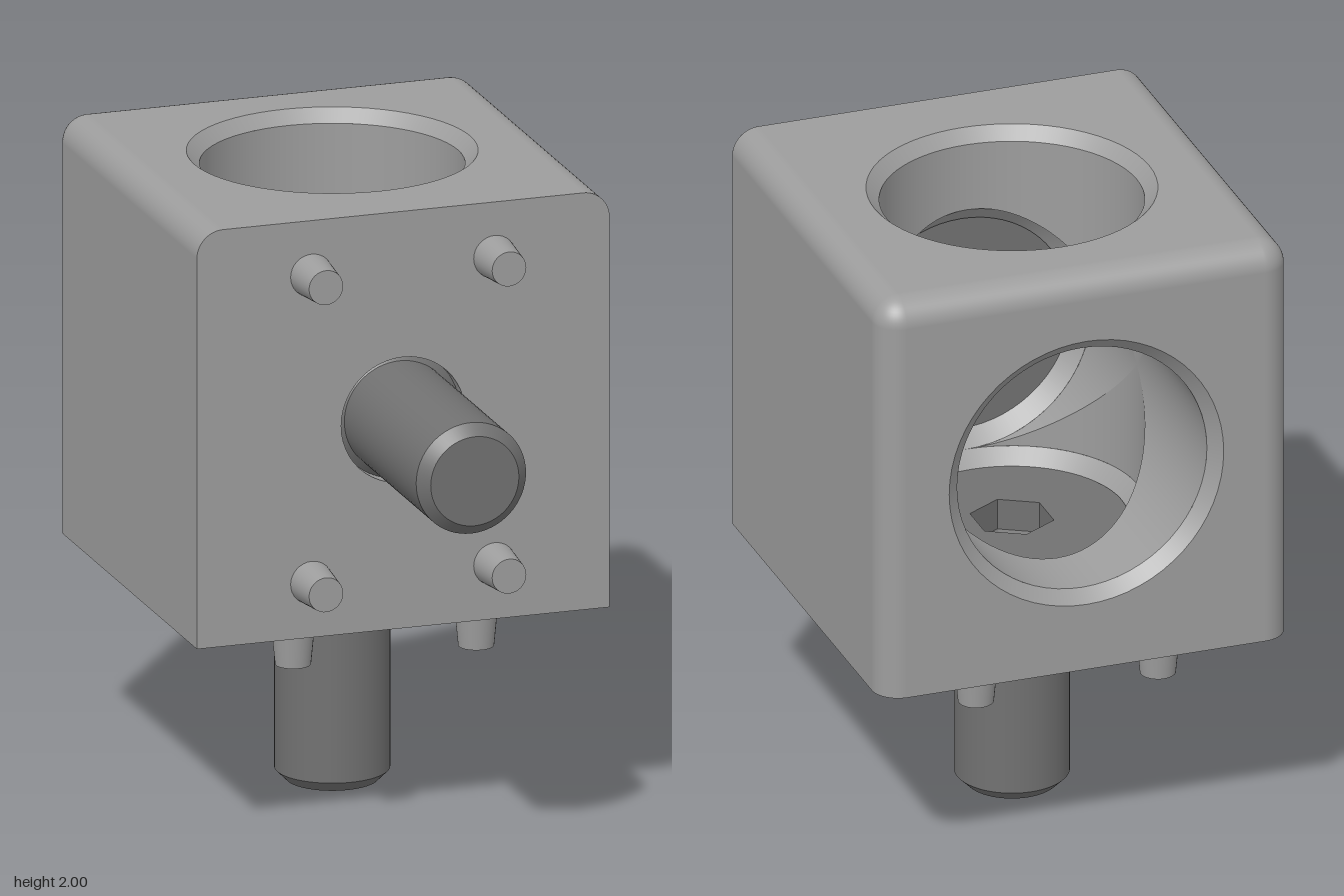
import * as THREE from 'three';
import { mergeGeometries } from 'three/addons/utils/BufferGeometryUtils.js';

const H = 0.665;      // half size of the cube
const F = 0.085;      // edge rounding
const R = 0.405;      // bore radius
const C = 0.04;       // bore chamfer
const HOLE = 0.2;     // bolt clearance hole
const SEG = 64;
const Q = Math.PI / 2;

const blockMat = new THREE.MeshStandardMaterial({ color: 0x9d9d9d, side: THREE.DoubleSide });
blockMat.name = 'light grey metal';
const boltMat = new THREE.MeshStandardMaterial({ color: 0x717171, side: THREE.DoubleSide });
boltMat.name = 'dark grey steel';

function add(parent, name, geometry, material, x = 0, y = 0, z = 0) {
  const mesh = new THREE.Mesh(geometry, material);
  mesh.name = name;
  mesh.position.set(x, y, z);
  parent.add(mesh);
  return mesh;
}

// Turned surface with a hard edge at every profile point
function turned(points, segments = SEG) {
  const bands = [];
  for (let i = 0; i < points.length - 1; i++) {
    const pair = [points[i], points[i + 1]].map(([x, y]) => new THREE.Vector2(x, y));
    bands.push(new THREE.LatheGeometry(pair, segments));
  }
  return mergeGeometries(bands);
}

function circlePath(r) {
  return new THREE.Path().absarc(0, 0, r, 0, Math.PI * 2, true);
}

// Bore wall, cut where the other bore of equal radius crosses it
function boreWall(upper) {
  const g = new THREE.CylinderGeometry(R, R, 1, 96, 4, true);
  const p = g.attributes.position;
  for (let i = 0; i < p.count; i++) {
    const t = p.getY(i) + 0.5;
    const cut = Math.min(R, Math.abs(p.getZ(i)));
    p.setY(i, upper ? cut + t * (H - C - cut) : -R + t * (R - cut));
  }
  return g;
}

function makeBolt() {
  const bolt = new THREE.Group();
  bolt.name = 'countersunkBolt';
  const top = 0.885, rim = 0.355, hex = 0.13, depth = 0.1;
  add(bolt, 'boltBody', turned([[0, 0], [0.142, 0], [0.177, 0.035], [0.177, 0.707], [rim, top]]), boltMat);

  // Head face with hexagonal opening
  const face = new THREE.Shape().absarc(0, 0, rim, 0, Math.PI * 2, false);
  const corners = [];
  for (let i = 0; i < 6; i++) {
    const a = -i * Math.PI / 3;
    corners.push(new THREE.Vector2(-hex * Math.sin(a), hex * Math.cos(a)));
  }
  face.holes.push(new THREE.Path(corners));
  add(bolt, 'boltHeadFace', new THREE.ShapeGeometry(face, SEG / 2).rotateX(-Q), boltMat, 0, top);

  // Hex socket with a shallow drilled point
  const socket = mergeGeometries([
    new THREE.CylinderGeometry(hex, hex, depth, 6, 1, true).translate(0, -depth / 2, 0),
    new THREE.CylinderGeometry(hex, 0.0001, 0.06, 6, 1, true).translate(0, -depth - 0.03, 0),
  ]).toNonIndexed();
  socket.computeVertexNormals();
  add(bolt, 'hexSocket', socket, boltMat, 0, top);
  return bolt;
}

// One bored direction: face, bore, seat, base, bolt and pins, along local y
function makeArm(name) {
  const arm = new THREE.Group();
  arm.name = name;

  // Bored face
  const s = H - F;
  const face = new THREE.Shape([[-s, -H], [s, -H], [s, s], [-s, s]].map(([x, y]) => new THREE.Vector2(x, y)));
  face.holes.push(circlePath(R + C));
  add(arm, 'boredFace', new THREE.ShapeGeometry(face, SEG / 2).rotateX(-Q), blockMat, 0, H);

  // Bore with chamfered mouth and conical bolt seat
  add(arm, 'boreChamfer', turned([[R + C, H], [R, H - C]]), blockMat);
  add(arm, 'boreUpperWall', boreWall(true), blockMat);
  add(arm, 'boreLowerWall', boreWall(false), blockMat);
  add(arm, 'boltSeat', turned([[R, -R], [HOLE, -R - 0.205], [HOLE, -H]]), blockMat);

  // Mounting face with two rounded corners
  const base = new THREE.Shape();
  base.moveTo(H, H);
  base.lineTo(-H, H);
  base.lineTo(-H, -s);
  base.absarc(-s, -s, F, Math.PI, 1.5 * Math.PI, false);
  base.lineTo(s, -H);
  base.absarc(s, -s, F, 1.5 * Math.PI, 2 * Math.PI, false);
  base.closePath();
  base.holes.push(circlePath(HOLE));
  add(arm, 'mountingFace', new THREE.ShapeGeometry(base, 24).rotateX(Q), blockMat, 0, -H);

  // Rounded edges beside the bored face
  for (const side of [1, -1]) {
    const roll = new THREE.CylinderGeometry(F, F, 2 * H - F, 12, 1, true, side > 0 ? Q : 2 * Q, Q).rotateX(Q);
    add(arm, 'roundedSideEdge', roll, blockMat, side * s, s, F / 2);
  }

  // Tapered locating pins
  for (const x of [-0.295, 0.295]) {
    for (const z of [-0.49, 0.49]) {
      add(arm, 'locatingPin', turned([[0, -0.135], [0.055, -0.135], [0.068, 0]], 32), blockMat, x, -H, z);
    }
  }

  const bolt = makeBolt();
  bolt.position.y = -1.335;
  arm.add(bolt);
  return arm;
}

export function createModel() {
  const model = new THREE.Group();
  model.name = 'cornerConnector';
  const block = new THREE.Group();
  block.name = 'connectorBlock';
  block.position.set(0, 1.335, -0.335);
  model.add(block);

  // Two identical arms: the second is turned to bore from the back
  block.add(makeArm('verticalArm'));
  const second = makeArm('horizontalArm');
  second.quaternion.setFromAxisAngle(new THREE.Vector3(0, 1, -1).normalize(), Math.PI);
  block.add(second);

  // Edge shared by the top and back
  const s = H - F;
  const roll = new THREE.CylinderGeometry(F, F, 2 * s, 12, 1, true, Q, Q).rotateZ(Q);
  add(block, 'roundedTopBackEdge', roll, blockMat, 0, s, -s);

  // Side faces and rounded corners
  for (const side of [1, -1]) {
    const plate = new THREE.PlaneGeometry(2 * H - F, 2 * H - F).rotateY(side * Q);
    add(block, 'sideFace', plate, blockMat, side * H, -F / 2, F / 2);
    const ball = new THREE.SphereGeometry(F, 12, 12, side > 0 ? 2 * Q : 3 * Q, Q, 0, Q);
    add(block, 'roundedCorner', ball, blockMat, side * s, s, -s);
  }
  return model;
}
